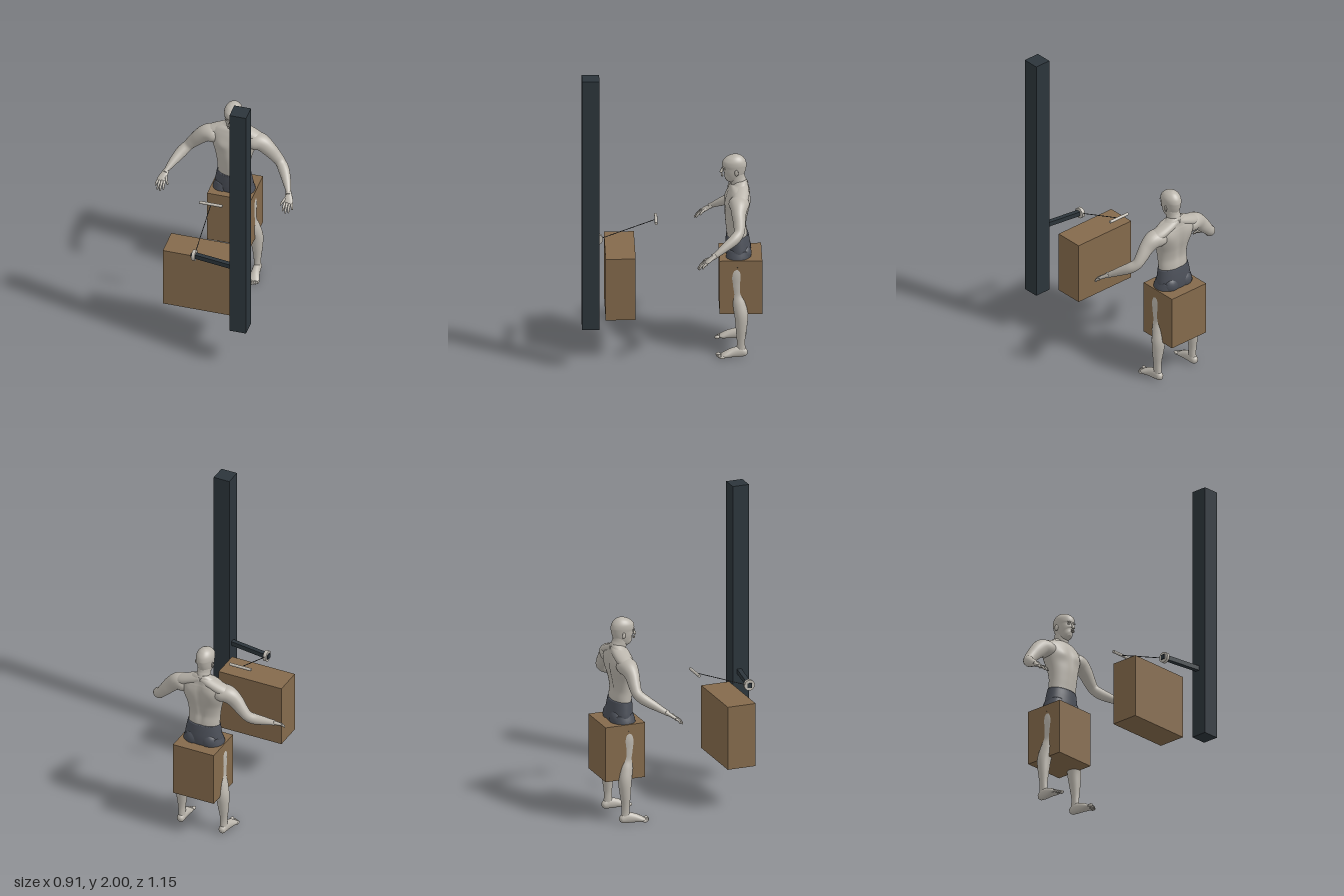
import * as THREE from 'three';

const paint = (name, color) => Object.assign(new THREE.MeshStandardMaterial({ color }), { name });
const skin = paint('skin', 0xbab5ac);
const cloth = paint('shorts cloth', 0x4b4f58);
const wood = paint('box brown', 0x846a4c);
const steel = paint('dark steel', 0x2c353b);
const metal = paint('pale metal', 0xbfbab1);
const cordGrey = paint('cord grey', 0x3c3f42);
const V = (x, y, z) => new THREE.Vector3(x, y, z);

function add(parent, name, geo, mat, x = 0, y = 0, z = 0) {
  const m = new THREE.Mesh(geo, mat);
  m.name = name;
  m.position.set(x, y, z);
  parent.add(m);
  return m;
}

// Smooth skin over elliptical rows [x, y, z, halfWidth, halfDepth]
function loft(rows, side, { steps = 6, n = 24, tweak } = {}) {
  const path = new THREE.CatmullRomCurve3(rows.map(r => V(r[0], r[1], r[2])), false, 'catmullrom', 0.5);
  const size = new THREE.CatmullRomCurve3(rows.map(r => V(r[3], r[4], 0)), false, 'catmullrom', 0.5);
  const pos = [], idx = [], count = (rows.length - 1) * steps;
  for (let i = 0; i <= count; i++) {
    const c = path.getPoint(i / count), r = size.getPoint(i / count), t = path.getTangent(i / count);
    const s = side.clone().addScaledVector(t, -side.dot(t)).normalize();
    const d = t.clone().cross(s);
    for (let j = 0; j < n; j++) {
      const a = j / n * Math.PI * 2;
      const p = c.clone().addScaledVector(s, Math.cos(a) * r.x).addScaledVector(d, Math.sin(a) * r.y);
      if (tweak) tweak(p);
      pos.push(p.x, p.y, p.z);
    }
  }
  for (let i = 0; i < count; i++) for (let j = 0; j < n; j++) {
    const a = i * n + j, b = i * n + (j + 1) % n;
    idx.push(a, b, a + n, b, b + n, a + n);
  }
  // end caps
  for (const [row, c, flip] of [[0, path.getPoint(0), 1], [count, path.getPoint(1), 0]]) {
    const k = pos.length / 3;
    pos.push(c.x, c.y, c.z);
    for (let j = 0; j < n; j++) {
      const a = row * n + j, b = row * n + (j + 1) % n;
      idx.push(...(flip ? [k, b, a] : [k, a, b]));
    }
  }
  const g = new THREE.BufferGeometry();
  g.setAttribute('position', new THREE.Float32BufferAttribute(pos, 3));
  g.setIndex(idx);
  g.computeVertexNormals();
  return g;
}

// Horizontal body rows [y, halfWidth, zBack, zFront]
const stack = (rows, opt) =>
  loft(rows.map(([y, w, b, f]) => [0, y, (b + f) / 2, w, (f - b) / 2]), V(1, 0, 0), opt);

function blob(parent, name, x, y, z, rx, ry, rz, mat = skin) {
  const m = add(parent, name, new THREE.SphereGeometry(1, 20, 14).scale(rx, ry, rz), mat, x, y, z);
  return m;
}

function rod(parent, name, a, b, r, mat, sides = 12) {
  const m = add(parent, name, new THREE.CylinderGeometry(r, r, a.distanceTo(b), sides), mat);
  m.position.copy(a).lerp(b, 0.5);
  m.quaternion.setFromUnitVectors(V(0, 1, 0), b.clone().sub(a).normalize());
}

const bump = (v, c, w) => Math.exp(-(((v - c) / w) ** 2));

function buildFigure() {
  const fig = new THREE.Group();
  fig.name = 'figure';
  const X = V(1, 0, 0);

  // chest muscles in front, spine groove and shoulder blades behind
  const sculpt = p => {
    const ax = Math.abs(p.x);
    if (p.z > -0.41) {
      p.z += 0.014 * bump(ax, 0.07, 0.05) * bump(p.y, 1.02, 0.04);
      p.z -= 0.005 * bump(ax, 0, 0.012) * bump(p.y, 0.94, 0.14);
    } else {
      p.z += 0.014 * bump(ax, 0, 0.018) * bump(p.y, 0.95, 0.15);
      p.z -= 0.010 * bump(ax, 0.085, 0.04) * bump(p.y, 1.04, 0.06);
    }
  };
  add(fig, 'torso', stack([
    [0.74, 0.105, -0.485, -0.355], [0.80, 0.106, -0.482, -0.350], [0.86, 0.108, -0.476, -0.343],
    [0.93, 0.120, -0.485, -0.337], [1.00, 0.143, -0.498, -0.342], [1.06, 0.158, -0.500, -0.352],
    [1.10, 0.140, -0.495, -0.368], [1.13, 0.085, -0.487, -0.385], [1.155, 0.045, -0.475, -0.39],
  ], { n: 48, sculpt, tweak: sculpt }), skin);
  add(fig, 'neck', stack([
    [1.07, 0.058, -0.49, -0.38], [1.13, 0.047, -0.482, -0.378], [1.17, 0.043, -0.468, -0.37],
    [1.21, 0.043, -0.46, -0.37],
  ]), skin);

  // head and face
  const face = p => {
    if (p.z > -0.36) p.z -= 0.008 * bump(Math.abs(p.x), 0.021, 0.011) * bump(p.y, 1.237, 0.010);
  };
  add(fig, 'head', stack([
    [1.155, 0.018, -0.37, -0.338], [1.165, 0.031, -0.40, -0.326], [1.185, 0.042, -0.44, -0.321],
    [1.21, 0.049, -0.462, -0.322], [1.24, 0.053, -0.474, -0.324], [1.265, 0.056, -0.478, -0.322],
    [1.29, 0.053, -0.472, -0.332], [1.312, 0.040, -0.453, -0.352], [1.325, 0.021, -0.428, -0.376],
    [1.329, 0.006, -0.408, -0.395],
  ], { n: 40, tweak: face }), skin);
  add(fig, 'nose', loft([
    [0, 1.243, -0.327, 0.005, 0.006], [0, 1.225, -0.321, 0.007, 0.008],
    [0, 1.211, -0.317, 0.012, 0.010], [0, 1.204, -0.320, 0.007, 0.005],
  ], X), skin);
  blob(fig, 'upperLip', 0, 1.192, -0.322, 0.017, 0.004, 0.007);
  blob(fig, 'lowerLip', 0, 1.184, -0.323, 0.014, 0.004, 0.007);

  // shorts waist and seat
  add(fig, 'shortsWaist', stack([
    [0.60, 0.105, -0.475, -0.36], [0.64, 0.122, -0.498, -0.348], [0.69, 0.126, -0.503, -0.344],
    [0.74, 0.119, -0.497, -0.344], [0.788, 0.110, -0.488, -0.346],
  ], { n: 40 }), cloth);

  for (const s of [1, -1]) {
    const tag = s > 0 ? 'left' : 'right';
    const flip = rows => rows.map(([x, ...r]) => [s * x, ...r]);
    const limb = (name, rows, side, mat = skin, opt) => add(fig, tag + name, loft(flip(rows), side, opt), mat);

    blob(fig, tag + 'Ear', s * 0.056, 1.222, -0.412, 0.007, 0.021, 0.013).rotation.y = -s * 0.35;
    blob(fig, tag + 'Eye', s * 0.021, 1.236, -0.338, 0.010, 0.006, 0.007);
    blob(fig, tag + 'Brow', s * 0.021, 1.249, -0.333, 0.016, 0.005, 0.008);
    blob(fig, tag + 'Buttock', s * 0.055, 0.675, -0.46, 0.056, 0.062, 0.047, cloth);

    // trapezius and arm
    limb('Trapezius', [
      [0.0, 1.135, -0.45, 0.035, 0.03], [0.06, 1.108, -0.445, 0.045, 0.032],
      [0.13, 1.078, -0.435, 0.05, 0.034], [0.18, 1.06, -0.428, 0.04, 0.03],
    ], V(0, 0, 1));
    limb('Arm', [
      [0.09, 1.035, -0.425, 0.055, 0.045], [0.135, 1.045, -0.426, 0.066, 0.055],
      [0.18, 1.04, -0.425, 0.057, 0.056], [0.225, 1.005, -0.422, 0.045, 0.05],
      [0.27, 0.955, -0.425, 0.038, 0.041], [0.305, 0.915, -0.42, 0.034, 0.034],
      [0.337, 0.883, -0.388, 0.034, 0.036], [0.372, 0.845, -0.33, 0.027, 0.028],
      [0.402, 0.808, -0.272, 0.019, 0.016], [0.408, 0.797, -0.254, 0.02, 0.014],
    ], V(0, 0, 1));

    // hand: palm, four fingers and a thumb
    limb('Palm', [
      [0.402, 0.808, -0.272, 0.018, 0.015], [0.411, 0.787, -0.242, 0.025, 0.013],
      [0.418, 0.768, -0.216, 0.031, 0.011], [0.421, 0.758, -0.203, 0.024, 0.007],
    ], X);
    const fingers = [
      [0.397, 0.766, -0.21, 0.394, 0.728, -0.165], [0.412, 0.766, -0.208, 0.413, 0.72, -0.156],
      [0.427, 0.764, -0.21, 0.432, 0.722, -0.163], [0.441, 0.764, -0.216, 0.451, 0.735, -0.186],
      [0.397, 0.786, -0.24, 0.371, 0.752, -0.190],
    ];
    fingers.forEach(([x, y, z, u, v, w], i) => limb(i < 4 ? 'Finger' : 'Thumb', [
      [x, y, z, 0.0085, 0.0085], [(x + u) / 2, (y + v) / 2 + 0.004, (z + w) / 2 + 0.004, 0.0075, 0.0075],
      [u * 0.9 + x * 0.1, v * 0.9 + y * 0.1, w * 0.9 + z * 0.1, 0.006, 0.006], [u, v, w, 0.002, 0.002],
    ], X, skin, { steps: 4, n: 10 }));

    // leg
    limb('Leg', [
      [0.068, 0.66, -0.42, 0.06, 0.07], [0.088, 0.56, -0.41, 0.061, 0.067],
      [0.099, 0.48, -0.41, 0.05, 0.054], [0.108, 0.41, -0.417, 0.042, 0.045],
      [0.127, 0.35, -0.428, 0.042, 0.044], [0.140, 0.28, -0.44, 0.044, 0.043],
      [0.146, 0.20, -0.44, 0.036, 0.036], [0.148, 0.12, -0.438, 0.025, 0.027],
      [0.147, 0.07, -0.438, 0.022, 0.027], [0.147, 0.03, -0.44, 0.022, 0.03],
    ], X);
    limb('ShortsLeg', [
      [0.066, 0.70, -0.425, 0.054, 0.07], [0.073, 0.65, -0.42, 0.064, 0.075],
      [0.080, 0.60, -0.414, 0.065, 0.072],
    ], X, cloth);

    // foot and toes
    const flat = p => { p.y = Math.max(p.y, 0.002); };
    limb('Foot', [
      [0.147, 0.024, -0.478, 0.010, 0.012], [0.147, 0.027, -0.465, 0.022, 0.025],
      [0.148, 0.034, -0.43, 0.025, 0.036], [0.152, 0.028, -0.38, 0.028, 0.03],
      [0.157, 0.017, -0.335, 0.034, 0.019], [0.158, 0.011, -0.312, 0.031, 0.010],
    ], X, skin, { tweak: flat });
    [-0.295, -0.299, -0.304, -0.311, -0.319].forEach((z, i) => blob(fig, tag + 'Toe',
      s * (i ? 0.142 + i * 0.0115 : 0.135), i ? 0.009 : 0.012, z,
      i ? 0.0065 : 0.011, i ? 0.009 : 0.012, i ? 0.018 : 0.017));
  }
  return fig;
}

export function createModel() {
  const model = new THREE.Group();
  model.name = 'pulley station';

  // two boxes and the tall post
  add(model, 'frontBox', new THREE.BoxGeometry(0.444, 0.42, 0.19), wood, 0, 0.5, 0.325);
  add(model, 'seatBox', new THREE.BoxGeometry(0.288, 0.365, 0.27), wood, 0, 0.4725, -0.438);
  add(model, 'post', new THREE.BoxGeometry(0.11, 1.71, 0.11), steel, 0.318, 1.145, 0.518);

  // bracket arm, pulley wheel, cord and handle bar
  const arm = add(model, 'bracketArm', new THREE.BoxGeometry(0.32, 0.03, 0.03), steel, 0.14, 0.755, 0.488);
  arm.rotation.y = -0.15;
  add(model, 'pulley', new THREE.CylinderGeometry(0.035, 0.035, 0.022, 32).rotateZ(Math.PI / 2),
    metal, 0, 0.755, 0.466);
  rod(model, 'cord', V(0, 0.755, 0.455), V(0, 0.888, 0.096), 0.0025, cordGrey, 8);
  rod(model, 'handleBar', V(-0.075, 0.889, 0.096), V(0.075, 0.889, 0.096), 0.0095, metal, 20);

  model.add(buildFigure());
  return model;
}
